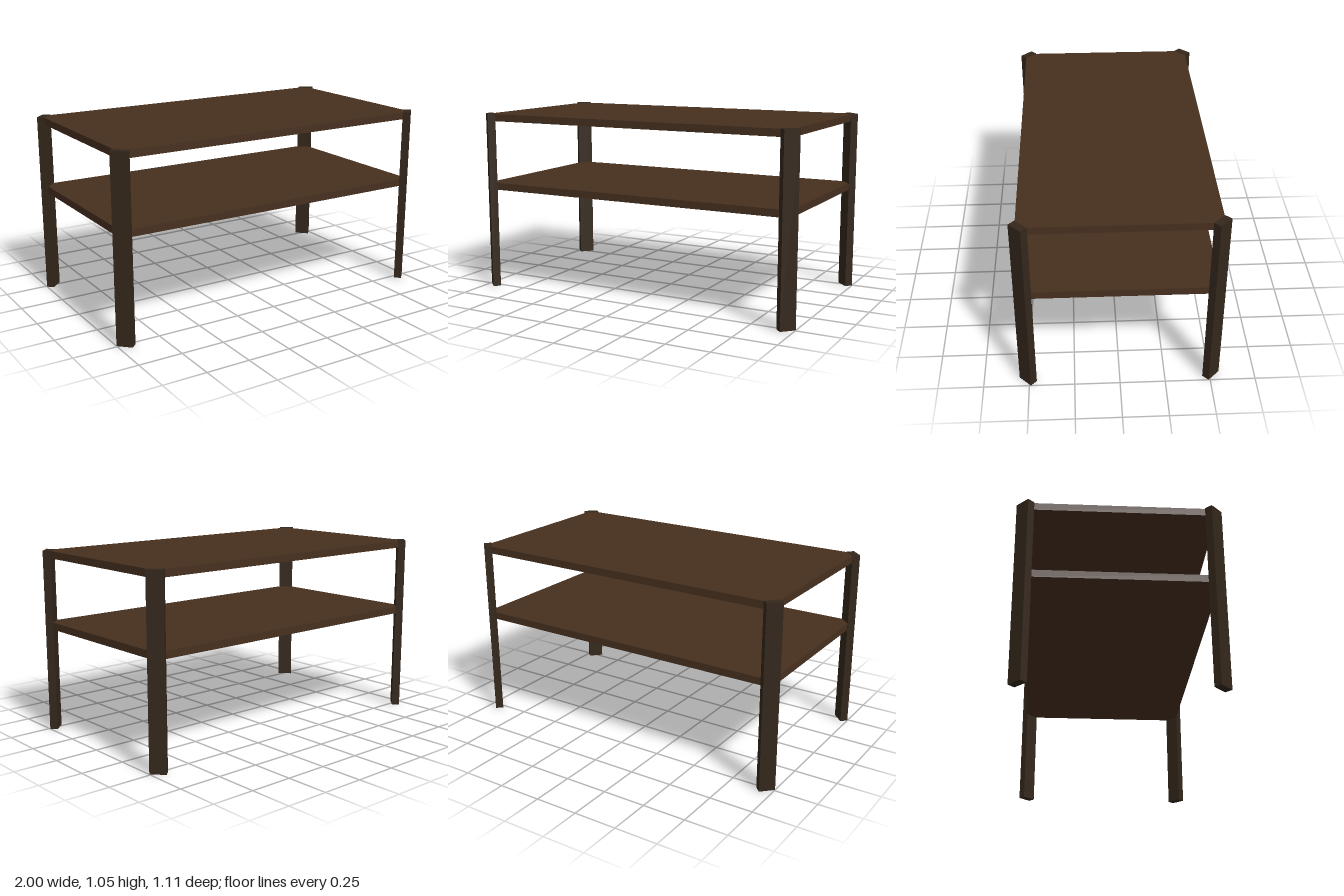
import * as THREE from 'three';

export function createModel() {
  const group = new THREE.Group();
  group.name = 'twoTierTable';
  const boardMaterial = new THREE.MeshStandardMaterial({ color: 0x47301f });
  const legMaterial = new THREE.MeshStandardMaterial({ color: 0x34271b });

  // Two equal boards, their corners set into the legs
  const boardGeometry = new THREE.BoxGeometry(1.93, 0.042, 1.042);
  for (const [name, y] of [['tableTop', 1.032], ['lowerShelf', 0.618]]) {
    const board = new THREE.Mesh(boardGeometry, boardMaterial);
    board.name = name;
    board.position.y = y;
    group.add(board);
  }

  // Flat rectangular legs, broad faces turned diagonally outward
  const legGeometry = new THREE.BoxGeometry(0.09, 1.055, 0.045);
  for (const sx of [-1, 1]) {
    for (const sz of [-1, 1]) {
      const leg = new THREE.Mesh(legGeometry, legMaterial);
      leg.name = (sz > 0 ? 'front' : 'back') + (sx > 0 ? 'Left' : 'Right') + 'Leg';
      leg.position.set(sx * 0.952, 1.055 / 2, sz * 0.507);
      leg.rotation.y = sx * sz * Math.PI / 4;
      group.add(leg);
    }
  }
  return group;
}
